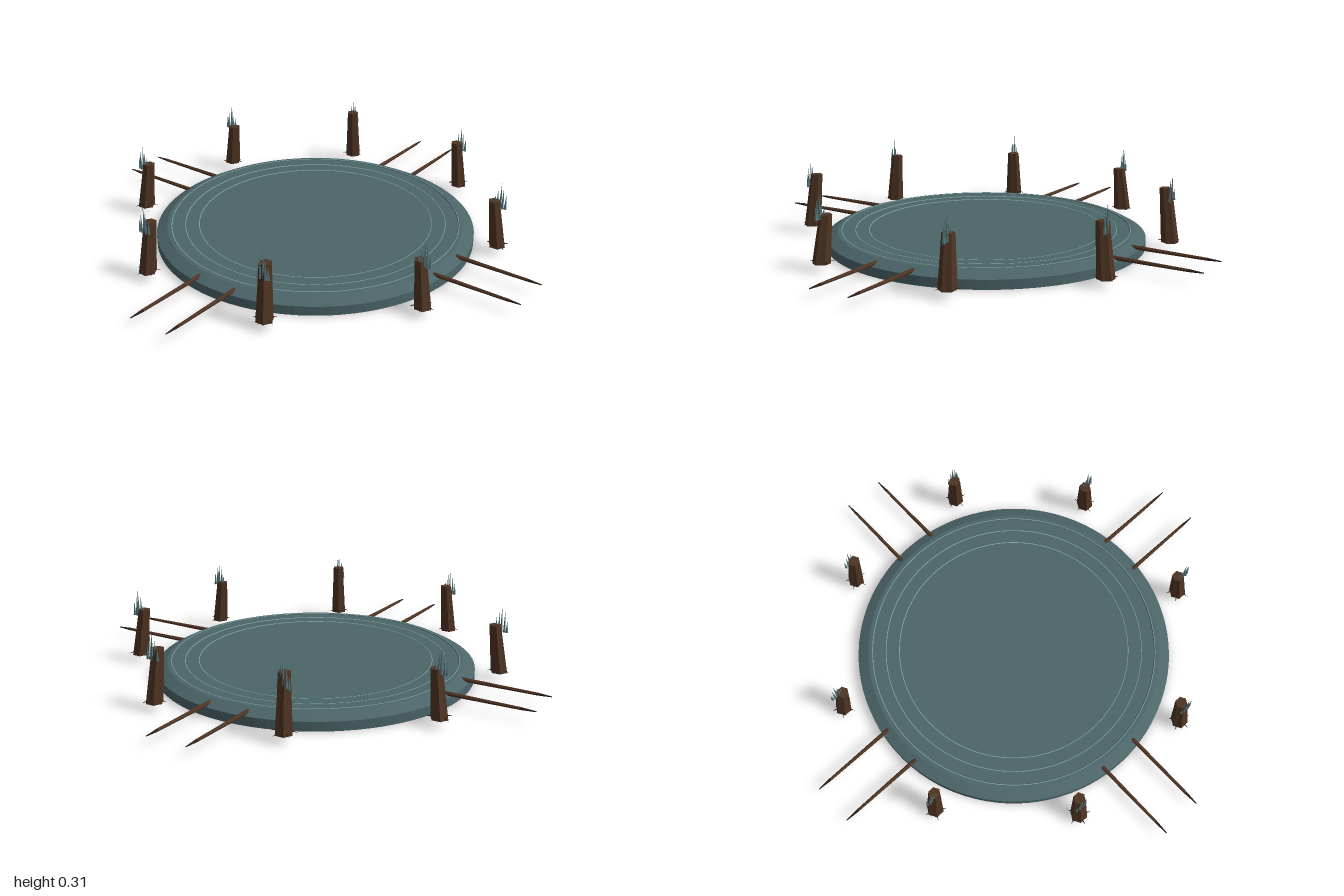
import * as THREE from 'three';

const mat = (name, color, extra = {}) => {
  const m = new THREE.MeshStandardMaterial({ color, ...extra });
  m.name = name;
  return m;
};

export function createModel() {
  const stone = mat('slate teal stone', 0x4c6569, { flatShading: true });
  const inlay = mat('pale teal inlay', 0x86b0b0);
  const bark = mat('brown bark', 0x4e3423, { flatShading: true });
  const dark = mat('dark wood', 0x2e2019, { flatShading: true });
  const crystal = mat('teal crystal', 0x55777c, { flatShading: true });

  const model = new THREE.Group();
  const add = (parent, name, geometry, material, x = 0, y = 0, z = 0) => {
    const mesh = new THREE.Mesh(geometry, material);
    mesh.name = name;
    mesh.position.set(x, y, z);
    parent.add(mesh);
    return mesh;
  };

  // Round platform: bevelled rim with shallow steps towards the middle
  const profile = [
    [0, 0], [0.665, 0], [0.665, 0.038], [0.62, 0.062], [0.6, 0.064],
    [0.598, 0.061], [0.545, 0.061], [0.543, 0.059], [0.488, 0.059], [0.486, 0.057], [0, 0.057],
  ].map(([r, y]) => new THREE.Vector2(r, y));
  add(model, 'platform', new THREE.LatheGeometry(profile, 96), stone);

  // Thin inlaid rings
  [[0.488, 0.058], [0.545, 0.06], [0.602, 0.063]].forEach(([r, y]) => {
    const ring = new THREE.TorusGeometry(r, 0.002, 5, 96).rotateX(Math.PI / 2);
    add(model, 'inlayRing', ring, inlay, 0, y, 0);
  });

  // Pairs of pointed poles reaching out on four sides
  const pole = new THREE.CylinderGeometry(0.006, 0.009, 0.31, 7).rotateX(Math.PI / 2);
  const tip = new THREE.CylinderGeometry(0.002, 0.006, 0.06, 7).rotateX(Math.PI / 2);
  for (let i = 0; i < 4; i++) {
    const side = new THREE.Group();
    side.name = 'polePair';
    side.rotation.y = i * Math.PI / 2;
    for (const x of [-0.087, 0.087]) {
      add(side, 'pole', pole, bark, x, 0.047, 0.785);
      add(side, 'poleTip', tip, dark, x, 0.047, 0.97);
    }
    model.add(side);
  }

  // Ring of leaning stumps with roots and a row of crystal spikes
  const spikes = [[-0.024, 0.05], [-0.012, 0.085], [0, 0.11], [0.011, 0.09], [0.022, 0.06]];
  for (let i = 0; i < 8; i++) {
    const angle = Math.PI / 8 + i * Math.PI / 4;
    const dx = Math.cos(angle), dz = Math.sin(angle);
    const height = 0.19 + 0.012 * ((i * 3) % 4);
    const stump = new THREE.Group();
    stump.name = 'stump';
    stump.position.set(dx * 0.763, 0.03, dz * 0.763);

    // Ridged, tapered trunk leaning towards the centre
    const trunk = new THREE.CylinderGeometry(0.023, 0.033, height, 12, 3).translate(0, height / 2, 0);
    const p = trunk.attributes.position;
    for (let k = 0; k < p.count; k++) {
      const x = p.getX(k), y = p.getY(k), z = p.getZ(k);
      const ridge = 1 + 0.09 * Math.cos(6 * Math.atan2(z, x) + 0.1);
      const lean = 0.025 * y / height;
      p.setXYZ(k, x * ridge - dx * lean, y, z * ridge - dz * lean);
    }
    trunk.computeVertexNormals();
    add(stump, 'trunk', trunk, bark);

    // Thin roots around the foot
    for (let k = 0; k < 5; k++) {
      const root = new THREE.ConeGeometry(0.006, 0.045, 5).rotateZ(-Math.PI / 2 - 0.25)
        .translate(0.028, 0.01, 0).rotateY(k * Math.PI * 0.4 + i);
      add(stump, 'root', root, dark);
    }

    // Crystal spikes beside the broken top
    spikes.forEach(([x, h], k) => {
      const spike = new THREE.ConeGeometry(0.006, h, 5);
      add(stump, 'crystalSpike', spike, crystal, x, 0.172 + h / 2, 0.003 * (k % 2));
    });
    model.add(stump);
  }
  return model;
}
